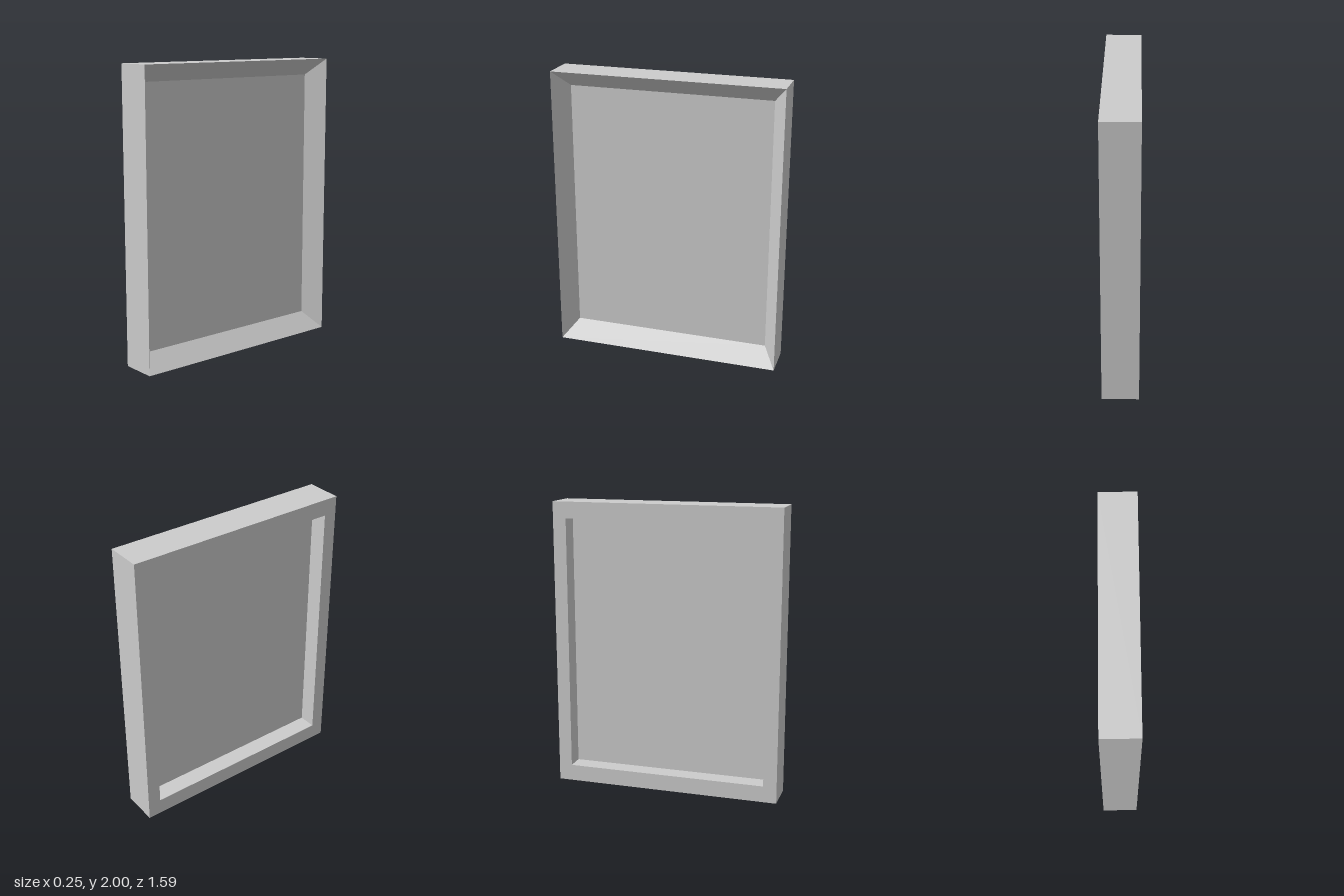
import * as THREE from 'three';

const HALF_DEPTH = 0.125;
const OUTER = { y: 1, z: 0.795 };
const INNER = { y: 0.886, z: 0.702 };

// Rectangular ring at depth x, anticlockwise as seen from +x
function ring(x, { y, z }) {
  return [[-1, 1], [-1, -1], [1, -1], [1, 1]].map(([sy, sz]) => [x, sy * y, sz * z]);
}

// Mitred frame: bevel on the +x side, flat rim with a straight recess on the -x side
function frameGeometry() {
  const rings = [
    ring(0, INNER),
    ring(HALF_DEPTH, OUTER),
    ring(-HALF_DEPTH, OUTER),
    ring(-HALF_DEPTH, INNER),
    ring(0, INNER),
  ];
  const positions = [];
  for (let i = 0; i < rings.length - 1; i++) {
    const a = rings[i], b = rings[i + 1];
    for (let k = 0; k < 4; k++) {
      const n = (k + 1) % 4;
      for (const p of [b[k], b[n], a[n], b[k], a[n], a[k]]) positions.push(...p);
    }
  }
  const geometry = new THREE.BufferGeometry();
  geometry.setAttribute('position', new THREE.Float32BufferAttribute(positions, 3));
  geometry.computeVertexNormals();
  return geometry;
}

export function createModel() {
  const model = new THREE.Group();
  model.name = 'pictureFrame';

  const frame = new THREE.Mesh(
    frameGeometry(),
    new THREE.MeshStandardMaterial({ color: 0xcccccc, flatShading: true })
  );
  frame.name = 'frame';
  frame.position.y = OUTER.y;

  // Thin panel in the middle of the frame's depth
  const panel = new THREE.Mesh(
    new THREE.PlaneGeometry(INNER.z * 2, INNER.y * 2).rotateY(Math.PI / 2),
    new THREE.MeshStandardMaterial({ color: 0xcccccc, side: THREE.DoubleSide })
  );
  panel.name = 'panel';
  panel.position.y = OUTER.y;

  model.add(frame, panel);
  return model;
}
